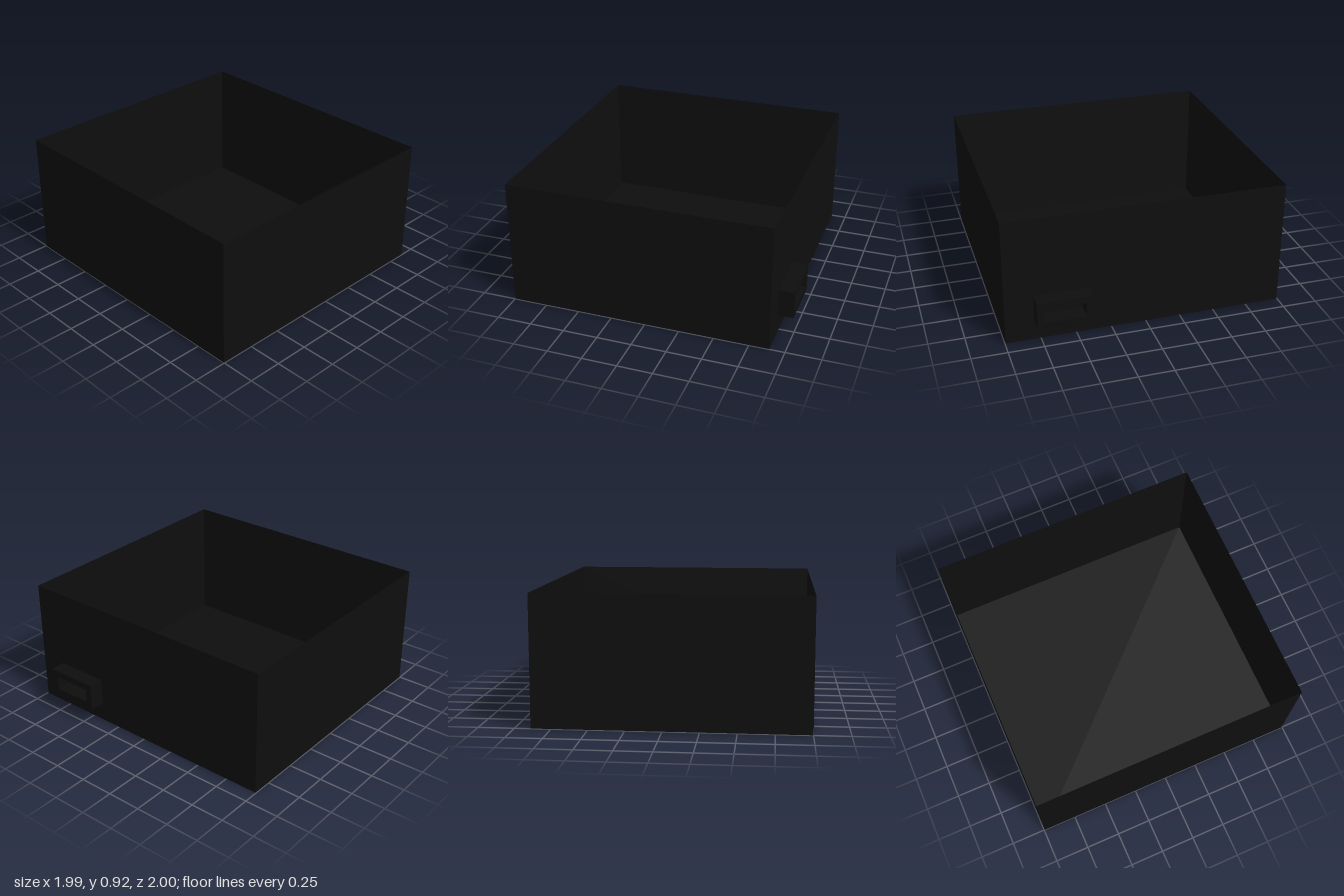
import * as THREE from 'three';

const W = 1.99, H = 0.917, FRONT = 1, BACK = -0.89;
const D = FRONT - BACK, MID = (FRONT + BACK) / 2;

export function createModel() {
  const group = new THREE.Group();
  const black = new THREE.MeshStandardMaterial({ color: 0x0e0e0e, side: THREE.DoubleSide });
  black.name = 'black';

  const add = (name, geometry, x, y, z) => {
    const mesh = new THREE.Mesh(geometry, black);
    mesh.name = name;
    mesh.position.set(x, y, z);
    group.add(mesh);
    return mesh;
  };

  // Open tray: thin sheet floor and four walls
  add('floor', new THREE.PlaneGeometry(W, D).rotateX(-Math.PI / 2), 0, 0, MID);
  add('frontWall', new THREE.PlaneGeometry(W, H), 0, H / 2, FRONT);
  add('backWall', new THREE.PlaneGeometry(W, H).rotateY(Math.PI), 0, H / 2, BACK);
  for (const s of [-1, 1]) {
    add(s > 0 ? 'leftWall' : 'rightWall',
      new THREE.PlaneGeometry(D, H).rotateY(s * Math.PI / 2), s * W / 2, H / 2, MID);
  }

  // Rectangular socket collar on the back wall
  const w = 0.39, h = 0.2, t = 0.05;
  const rect = (Type, a, b) => {
    const p = new Type();
    p.moveTo(-a, -b);
    p.lineTo(a, -b);
    p.lineTo(a, b);
    p.lineTo(-a, b);
    p.closePath();
    return p;
  };
  const collar = rect(THREE.Shape, w / 2, h / 2);
  collar.holes.push(rect(THREE.Path, w / 2 - t, h / 2 - t));
  add('socketCollar',
    new THREE.ExtrudeGeometry(collar, { depth: BACK + 1, bevelEnabled: false }),
    0.598, 0.24, -1);

  return group;
}
